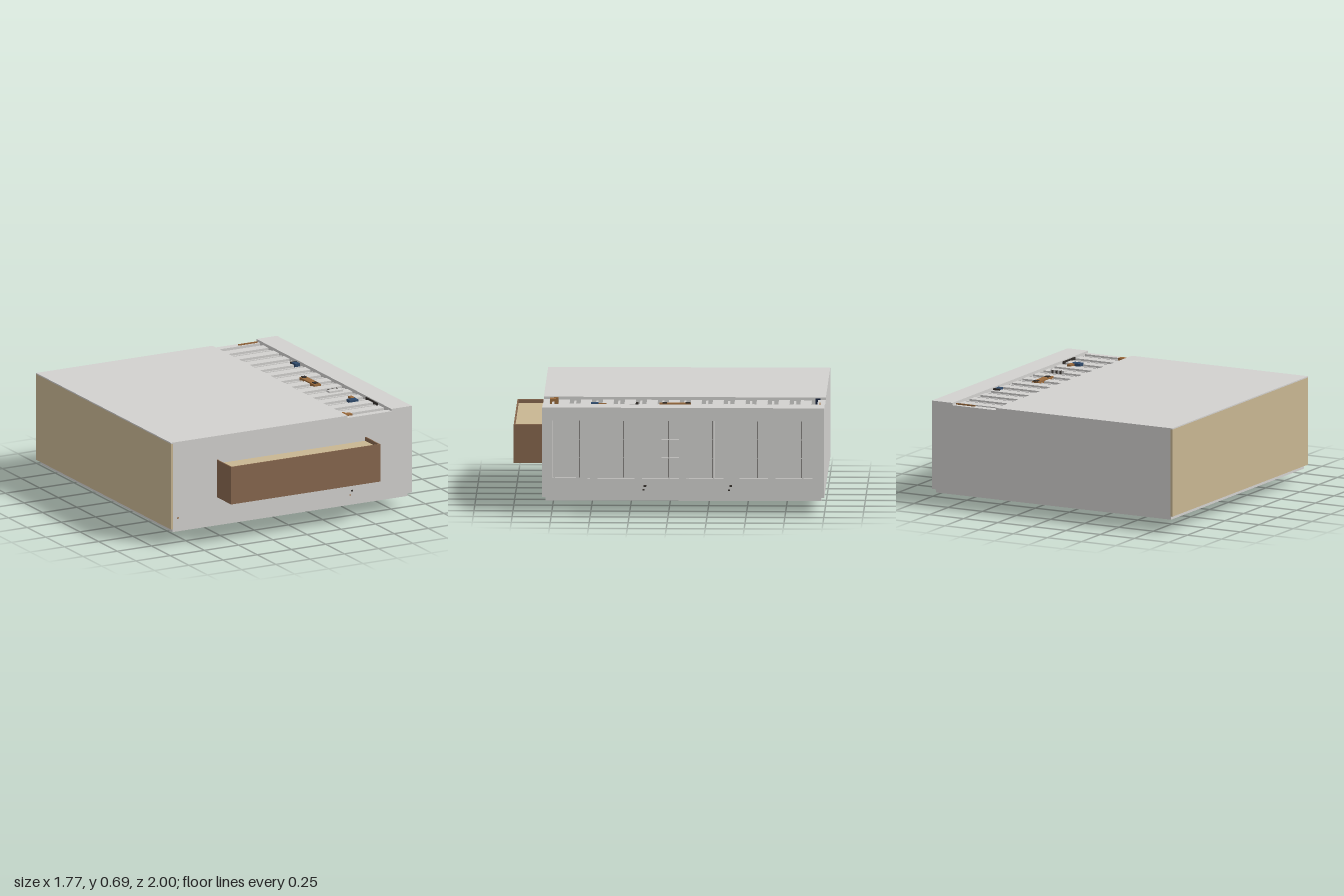
import * as THREE from 'three';

const mat = (name, color) => {
  const m = new THREE.MeshStandardMaterial({ color });
  m.name = name;
  return m;
};

export function createModel() {
  const root = new THREE.Group();
  root.name = 'building';
  const grey = mat('light grey', 0xd2d1cf);
  const tan = mat('tan', 0xc8b692);
  const brown = mat('brown', 0x87674e);
  const navy = mat('navy', 0x14203a);
  const wood = mat('warm wood', 0x9a6a3c);
  const dark = mat('dark metal', 0x35302c);
  const blue = mat('blue', 0x2f4a6b);

  // Box given by its minimum and maximum on each axis
  const box = (name, m, x0, x1, y0, y1, z0, z1, parent = root) => {
    const mesh = new THREE.Mesh(new THREE.BoxGeometry(x1 - x0, y1 - y0, z1 - z0), m);
    mesh.position.set((x0 + x1) / 2, (y0 + y1) / 2, (z0 + z1) / 2);
    mesh.name = name;
    parent.add(mesh);
    return mesh;
  };
  const group = (name) => {
    const g = new THREE.Group();
    g.name = name;
    root.add(g);
    return g;
  };

  // Main body, split around the roof channel
  const Z0 = -1, Z1 = 0.81, Y0 = 0.11, Y1 = 0.69;
  box('mainBody', grey, -0.875, 0.4, Y0, Y1, Z0, Z1);
  box('channelFloor', grey, 0.4, 0.72, Y0, 0.645, Z0, Z1);
  box('rightBody', grey, 0.72, 0.85, Y0, Y1, Z0, Z1);
  box('roofEdge', grey, -0.89, -0.875, 0.682, Y1, Z0, Z1);
  box('leftWallPanel', tan, -0.89, -0.875, Y0, 0.682, Z0, Z1);
  box('baseSlab', grey, -0.87, 0.85, 0.085, Y0, -0.98, 0.79);

  // Slats across the roof channel
  const slats = group('roofSlats');
  box('channelEnd', grey, 0.4, 0.72, 0.645, 0.675, Z0, Z0 + 0.05, slats);
  box('channelEnd', grey, 0.4, 0.72, 0.645, 0.675, Z1 - 0.04, Z1, slats);
  for (let i = 0; i < 12; i++) {
    const z = -0.91 + i * 0.141;
    box('slat', grey, 0.4, 0.72, 0.645, 0.672, z, z + 0.07, slats);
    box('thinSlat', grey, 0.4, 0.72, 0.645, 0.667, z + 0.1, z + 0.113, slats);
  }

  // Right wall with six openings, cut through and backed by the body
  const rect = (s, a, b, c, d) => {
    s.moveTo(a, c); s.lineTo(b, c); s.lineTo(b, d); s.lineTo(a, d); s.closePath();
    return s;
  };
  const wall = rect(new THREE.Shape(), -Z1, -Z0, Y0, Y1);
  const windows = group('windows');
  for (let i = 0; i < 6; i++) {
    const z = 0.742 - i * 0.286, zEnd = z - 0.238;
    wall.holes.push(rect(new THREE.Path(), -z, -zEnd, 0.232, 0.605));
    const bar = (name, m, x1, y0, y1, za, zb) => box(name, m, 0.85, x1, y0, y1, zb, za, windows);
    bar('mullion', grey, 0.862, 0.232, 0.605, z - 0.17, z - 0.178);
    bar('mullionShadowGap', dark, 0.852, 0.235, 0.602, z - 0.167, z - 0.17);
    bar('frameSide', grey, 0.86, 0.232, 0.605, z - 0.006, z - 0.013);
    for (const y of [0.36, 0.48]) bar('glazingBar', grey, 0.853, y, y + 0.004, z - 0.013, zEnd);
  }
  const wallGeo = new THREE.ExtrudeGeometry(wall, { depth: 0.02, bevelEnabled: false });
  wallGeo.rotateY(Math.PI / 2);
  const wallMesh = new THREE.Mesh(wallGeo, grey);
  wallMesh.position.x = 0.85;
  wallMesh.name = 'windowWall';
  root.add(wallMesh);

  // Planter box on the front
  const tray = group('frontBox');
  box('frontPanel', brown, -0.555, 0.535, 0.28, 0.53, 0.992, 1, tray);
  for (const x of [-0.555, 0.527]) box('sidePanel', brown, x, x + 0.008, 0.28, 0.53, Z1, 0.992, tray);
  box('bottomPanel', brown, -0.547, 0.527, 0.28, 0.29, Z1, 0.992, tray);
  box('fill', tan, -0.547, 0.527, 0.29, 0.505, Z1, 0.992, tray);

  // Sloped foot below the slab
  const foot = new THREE.Shape();
  foot.moveTo(-0.49, 0.085);
  foot.lineTo(-0.49, 0.046);
  foot.lineTo(0.485, 0.001);
  foot.lineTo(0.485, 0.085);
  foot.closePath();
  const footGeo = new THREE.ExtrudeGeometry(foot, { depth: 0.585, bevelEnabled: false });
  footGeo.rotateY(Math.PI / 2);
  const footMesh = new THREE.Mesh(footGeo, grey);
  footMesh.position.x = -0.303;
  footMesh.name = 'slopedFoot';
  root.add(footMesh);

  // Dark strips along the foot's sloped underside
  for (const x of [-0.2, -0.012, 0.176]) {
    const g = group('footStrip');
    g.position.set(x, 0.0235, 0);
    g.rotation.x = -Math.atan(0.045 / 0.975);
    box('strip', navy, -0.007, 0.007, -0.002, 0.002, -0.36, 0.36, g);
    for (const z of [-0.36, 0.36]) box('stripEnd', navy, -0.016, 0.016, -0.002, 0.002, z - 0.005, z + 0.005, g);
  }

  // Small objects lying in the roof channel
  const items = group('channelObjects');
  const item = (name, m, x, z, w, d, y1 = 0.684) =>
    box(name, m, x - w / 2, x + w / 2, 0.646, y1, z - d / 2, z + d / 2, items);
  item('bench', wood, 0.588, -0.038, 0.048, 0.2, 0.68);
  for (const z of [-0.12, 0.03]) item('benchPad', dark, 0.588, z, 0.03, 0.03, 0.685);
  item('blueSeat', blue, 0.695, -0.425, 0.034, 0.05);
  item('seatBack', dark, 0.695, -0.455, 0.045, 0.01);
  item('blueCushion', blue, 0.617, 0.478, 0.062, 0.048);
  item('smallCabinet', wood, 0.638, 0.427, 0.026, 0.05);
  item('paleTray', grey, 0.62, 0.235, 0.1, 0.04);
  for (let i = 0; i < 3; i++) item('peg', dark, 0.59 + i * 0.03, 0.208, 0.006, 0.02);
  item('brownStool', wood, 0.43, 0.75, 0.055, 0.04);
  item('stoolBack', wood, 0.415, 0.73, 0.02, 0.03, 0.687);
  item('rail', dark, 0.717, 0.55, 0.005, 0.16);
  item('rail', wood, 0.64, -0.967, 0.14, 0.006);
  item('post', navy, 0.405, -0.95, 0.01, 0.03);

  // Small fittings on the outer walls
  const fittings = group('wallFittings');
  for (const z of [0.15, -0.4]) {
    box('sideTap', dark, 0.87, 0.885, 0.18, 0.19, z - 0.008, z + 0.008, fittings);
    box('sideTapBase', dark, 0.87, 0.878, 0.155, 0.163, z + 0.004, z + 0.016, fittings);
  }
  box('frontTap', dark, 0.423, 0.437, 0.18, 0.19, Z1, Z1 + 0.006, fittings);
  box('frontTapBase', wood, 0.412, 0.422, 0.155, 0.162, Z1, Z1 + 0.006, fittings);
  box('frontKnob', wood, -0.845, -0.836, 0.178, 0.186, Z1, Z1 + 0.006, fittings);

  return root;
}
